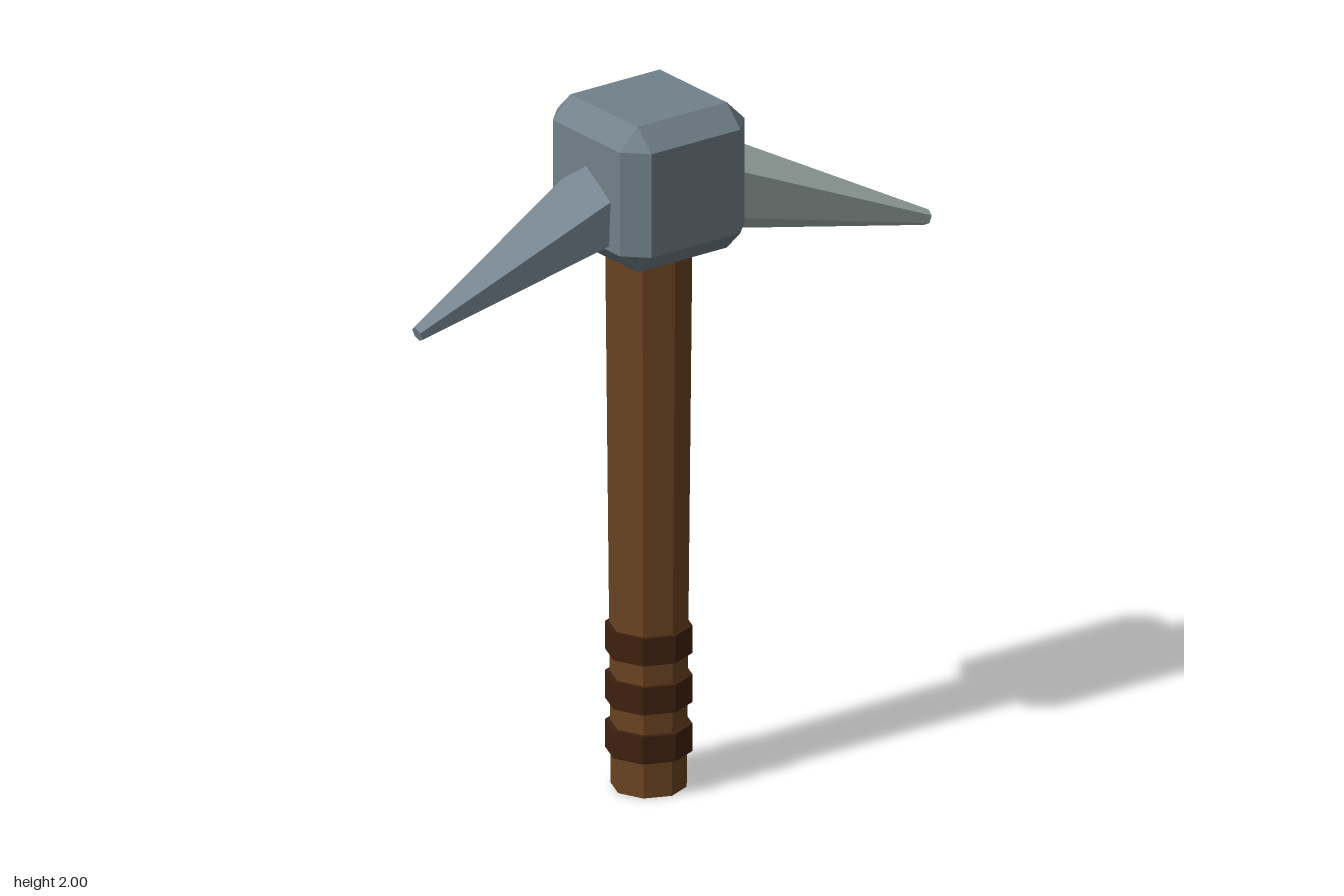
import * as THREE from 'three';
import { ConvexGeometry } from 'three/addons/geometries/ConvexGeometry.js';

function material(name, color) {
  const m = new THREE.MeshStandardMaterial({ color, flatShading: true });
  m.name = name;
  return m;
}

// Box with every edge and corner cut off flat
function chamferedBox(half, inner) {
  const points = [];
  for (const x of [-1, 1]) for (const y of [-1, 1]) for (const z of [-1, 1]) {
    points.push(
      new THREE.Vector3(x * half, y * inner, z * inner),
      new THREE.Vector3(x * inner, y * half, z * inner),
      new THREE.Vector3(x * inner, y * inner, z * half)
    );
  }
  return new ConvexGeometry(points);
}

export function createModel() {
  const group = new THREE.Group();
  group.name = 'pickaxe';
  const wood = material('wood', 0x6b4423);
  const leather = material('dark leather', 0x3f210f);
  const iron = material('iron', 0x72818a);
  const blueSteel = material('blue steel', 0x7b8a96);
  const paleSteel = material('pale steel', 0xa6b5b0);
  const axisX = -0.08;

  const add = (name, geometry, mat, x, y) => {
    const mesh = new THREE.Mesh(geometry, mat);
    mesh.name = name;
    mesh.position.set(x, y, 0);
    group.add(mesh);
    return mesh;
  };

  // Tapered octagonal handle, its top sunk in the head
  add('handle', new THREE.CylinderGeometry(0.12, 0.104, 1.64, 8), wood, axisX, 0.82);

  // Grip wraps
  [0.145, 0.288, 0.431].forEach((y, i) =>
    add(`gripBand${i + 1}`, new THREE.CylinderGeometry(0.12, 0.12, 0.08, 8), leather, axisX, y));

  // Head block
  add('head', chamferedBox(0.212, 0.151), iron, axisX, 1.79);

  // Six-sided spikes, drooping from the head down to their tips
  const spike = (name, mat, side, tipX, tipY, length, baseRadius) => {
    const droop = 0.36;
    const dir = new THREE.Vector3(side * Math.cos(droop), -Math.sin(droop), 0);
    const geometry = new THREE.CylinderGeometry(0.022, baseRadius, length, 6);
    geometry.rotateY(Math.PI / 2); // a ridge runs along the top
    const mesh = add(name, geometry, mat, tipX - dir.x * length / 2, tipY - dir.y * length / 2);
    mesh.rotation.z = -side * (Math.PI / 2 + droop);
  };
  spike('leftSpike', paleSteel, 1, 0.863, 1.43, 0.86, 0.142);
  spike('rightSpike', blueSteel, -1, -0.865, 1.5, 0.69, 0.135);

  return group;
}
